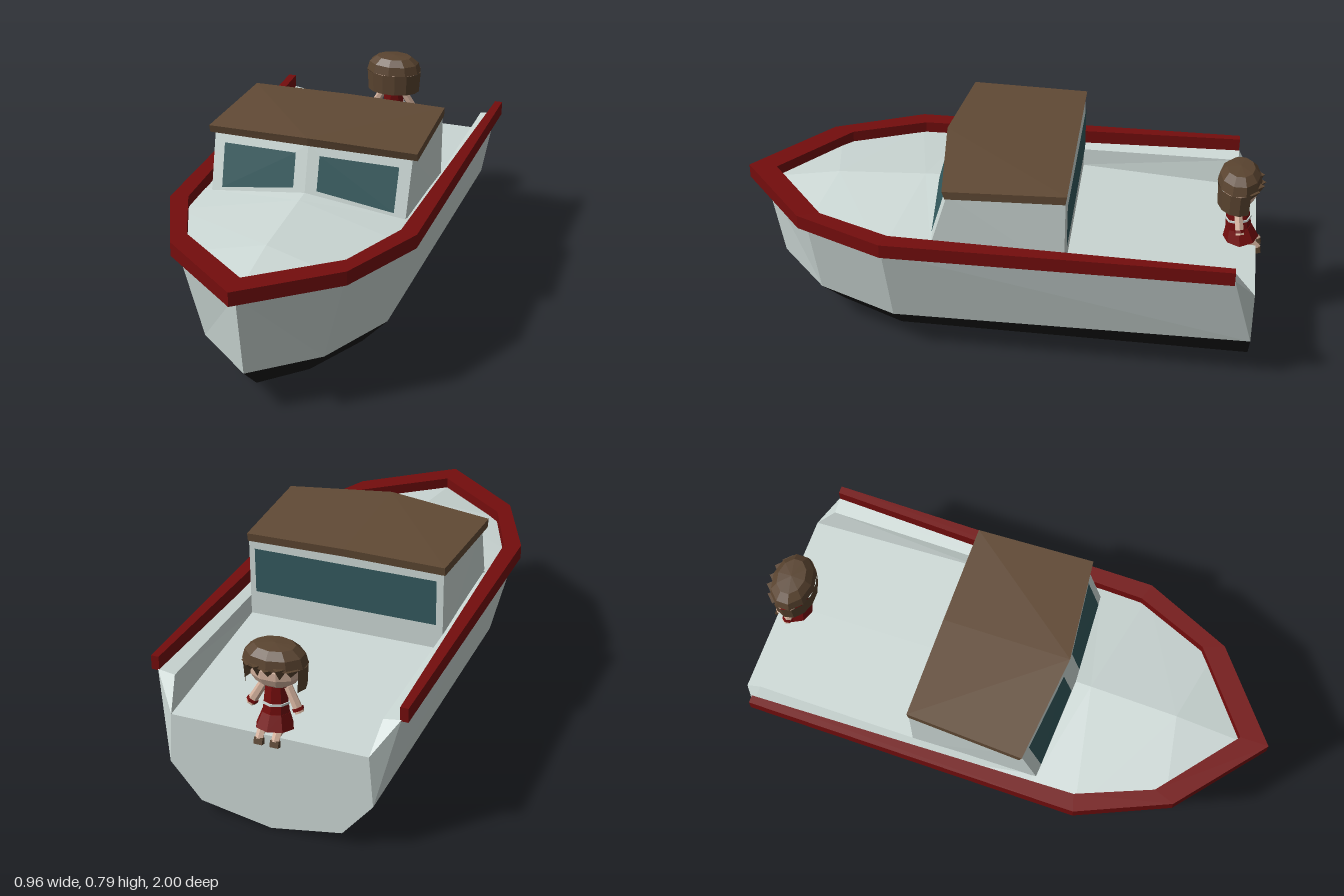
import * as THREE from 'three';

const paint = (name, color) =>
  new THREE.MeshStandardMaterial({ name, color, flatShading: true, side: THREE.DoubleSide });

export function createModel() {
  const white = paint('hull white', 0xccd8d5);
  const black = paint('bottom black', 0x191919);
  const red = paint('rail red', 0x740d0d);
  const brown = paint('roof brown', 0x614a35);
  const glass = paint('window glass', 0x33595d);
  const hairBrown = paint('hair brown', 0x5a4430);
  const skin = paint('skin', 0xd2b09c);

  const boat = new THREE.Group();
  boat.name = 'motorBoat';

  function add(name, geo, mat, parent = boat) {
    const m = new THREE.Mesh(geo, mat);
    m.name = name;
    parent.add(m);
    return m;
  }

  // Facets between neighbouring rows of points, optionally mirrored across x = 0
  function panel(name, rows, mat, mirror = true) {
    const out = [];
    const tri = (p, q, r) => {
      const [a, b, c] = [p, q, r].map(v => new THREE.Vector3(...v));
      if (b.clone().sub(a).cross(c.clone().sub(a)).length() < 1e-7) return;
      out.push(...p, ...q, ...r);
      if (mirror) for (const v of [p, r, q]) out.push(-v[0], v[1], v[2]);
    };
    for (let i = 0; i + 1 < rows.length; i++) {
      const a = rows[i], b = rows[i + 1];
      for (let j = 0; j + 1 < a.length; j++) {
        tri(a[j], b[j], b[j + 1]);
        tri(a[j], b[j + 1], a[j + 1]);
      }
    }
    const g = new THREE.BufferGeometry();
    g.setAttribute('position', new THREE.Float32BufferAttribute(out, 3));
    g.computeVertexNormals();
    return add(name, g, mat);
  }

  // Hull lines, bow to stern, left half
  const gunwale = [[0, .51, .94], [.315, .51, .70], [.455, .51, .39], [.455, .51, -.9]];
  const chine = [[0, .17, .88], [.23, .17, .68], [.37, .17, .37], [.385, .19, -.98]];
  const bilge = [[0, .06, .76], [.15, .06, .61], [.27, .06, .36], [.27, .05, -.98]];
  const keel = [[0, .06, .76], [0, .035, .62], [0, .033, .30], [0, 0, -.98]];
  panel('hullSides', [gunwale, chine], white);
  panel('hullBottom', [chine, bilge, keel], black);

  // Transom with cut corners
  const sternTop = [.37, .39, -.98];
  panel('transom', [
    [sternTop, [0, .39, -.98]],
    [chine[3], [0, .19, -.98]],
    [bilge[3], keel[3]],
  ], white);
  panel('sternCorners', [[gunwale[3], sternTop], [chine[3], chine[3]]], white);

  // Foredeck, side decks and cockpit
  panel('foredeck', [
    [[0, .51, .94], [0, .56, .64], [0, .578, .3], [0, .582, .2]],
    [gunwale[0], gunwale[1], gunwale[2], [.455, .51, .2]],
  ], white);
  panel('sideDecks', [
    [[.38, .515, .2], [.39, .50, -.27], [.39, .50, -.9], sternTop],
    [[.455, .51, .2], [.455, .51, -.27], gunwale[3], sternTop],
  ], white);
  panel('cockpit', [
    [[0, .43, -.27], [0, .39, -.98]],
    [[.385, .43, -.27], sternTop],
    [[.39, .50, -.27], [.39, .50, -.9]],
  ], white);

  // Rub rail around the gunwale, open at the stern
  const half = [[.45, -.9], [.415, .37], [.30, .65], [0, .89]];
  const outer = [[.48, -.9], [.48, .39], [.33, .73], [0, 1]];
  const flip = ([x, z]) => [-x, z];
  const outline = [
    ...outer, ...outer.slice(0, 3).reverse().map(flip),
    ...half.slice(0, 3).map(flip), ...half.slice().reverse(),
  ];
  const railShape = new THREE.Shape(outline.map(p => new THREE.Vector2(...p)));
  const rail = new THREE.ExtrudeGeometry(railShape, { depth: .055, bevelEnabled: false });
  add('rail', rail.rotateX(Math.PI / 2).translate(0, .56, 0), red);

  // Cabin walls: raked, slightly pointed front
  const f = { c0: [0, .56, .245], s0: [.385, .50, .22], c1: [0, .757, .195], s1: [.39, .737, .15] };
  panel('cabinFront', [[f.c1, f.s1], [f.c0, f.s0]], white);
  panel('cabinSides', [[f.s1, [.385, .737, -.28]], [f.s0, [.385, .43, -.28]]], white);
  panel('cabinBack', [
    [[.385, .737, -.28], [0, .742, -.28]],
    [[.385, .43, -.28], [0, .43, -.28]],
  ], white);

  // Windows lie just proud of the walls
  const mix = (a, b, t) => a.map((v, i) => v + (b[i] - v) * t);
  const onFront = (u, v) => {
    const p = mix(mix(f.c0, f.s0, u), mix(f.c1, f.s1, u), v);
    return [p[0], p[1], p[2] + .006];
  };
  panel('frontWindows', [
    [onFront(.12, .84), onFront(.885, .86)],
    [onFront(.12, .20), onFront(.885, .15)],
  ], glass);
  panel('backWindow', [
    [[.36, .71, -.286], [-.36, .71, -.286]],
    [[.36, .53, -.286], [-.36, .53, -.286]],
  ], glass, false);

  // Roof slab with a shallow ridge
  const top = { cf: [0, .79, .21], sf: [.41, .766, .165], cb: [0, .773, -.285], sb: [.39, .768, -.285] };
  const low = { cf: [0, .755, .20], sf: [.41, .735, .155], cb: [0, .74, -.28], sb: [.39, .735, -.28] };
  panel('roof', [
    [top.cf, top.cb], [top.sf, top.sb], [low.sf, low.sb], [low.cf, low.cb],
  ], brown);
  panel('roofFrontEdge', [[top.cf, top.sf], [low.cf, low.sf]], brown);
  panel('roofBackEdge', [[top.sb, top.cb], [low.sb, low.cb]], brown);

  // Small figure sitting on the stern, looking aft
  const figure = new THREE.Group();
  figure.name = 'seatedFigure';
  figure.position.z = -.9;
  boat.add(figure);
  const limb = (name, a, b, r0, r1, mat, sides = 6) => {
    const p = new THREE.Vector3(...a), q = new THREE.Vector3(...b), d = q.clone().sub(p);
    const m = add(name, new THREE.CylinderGeometry(r1, r0, d.length(), sides), mat, figure);
    m.position.copy(p).add(q).multiplyScalar(.5);
    m.quaternion.setFromUnitVectors(new THREE.Vector3(0, 1, 0), d.normalize());
    return m;
  };

  // Head and hair
  add('head', new THREE.SphereGeometry(1, 10, 7).scale(.095, .068, .066).translate(0, .615, -.004), skin, figure);
  const cap = [[.118, .645], [.108, .682], [.075, .708], [0, .714]].map(p => new THREE.Vector2(...p));
  add('hairTop', new THREE.LatheGeometry(cap, 10).scale(1, 1, .71), hairBrown, figure);
  add('hairBack', new THREE.CylinderGeometry(.118, .112, .087, 9, 1, true, -2.1, 4.2)
    .scale(1, 1, .71).translate(0, .6015, 0), hairBrown, figure);
  for (let i = -2; i <= 2; i++) {
    const t = i * .42;
    const lock = add('fringeLock', new THREE.ConeGeometry(.032, i % 2 ? .05 : .035, 4)
      .rotateX(Math.PI), hairBrown, figure);
    lock.position.set(Math.sin(t) * .1, .632, -Math.cos(t) * .066);
  }

  // Dress
  limb('torso', [0, .44, -.01], [0, .56, .002], .05, .04, red, 8);
  limb('skirt', [0, .395, -.02], [0, .45, -.01], .07, .05, red, 8);
  limb('sash', [0, .484, -.006], [0, .492, -.005], .05, .05, white, 8);

  // Arms and legs on both sides
  for (const s of [-1, 1]) {
    limb('arm', [s * .045, .55, 0], [s * .092, .465, -.015], .016, .018, skin);
    limb('cuff', [s * .083, .482, -.012], [s * .088, .472, -.014], .021, .021, red);
    limb('leg', [s * .03, .415, -.04], [s * .03, .37, -.088], .018, .016, skin);
    const shoe = add('shoe', new THREE.BoxGeometry(.032, .024, .03), hairBrown, figure);
    shoe.position.set(s * .03, .366, -.084);
    shoe.rotation.x = .3;
  }
  return boat;
}
